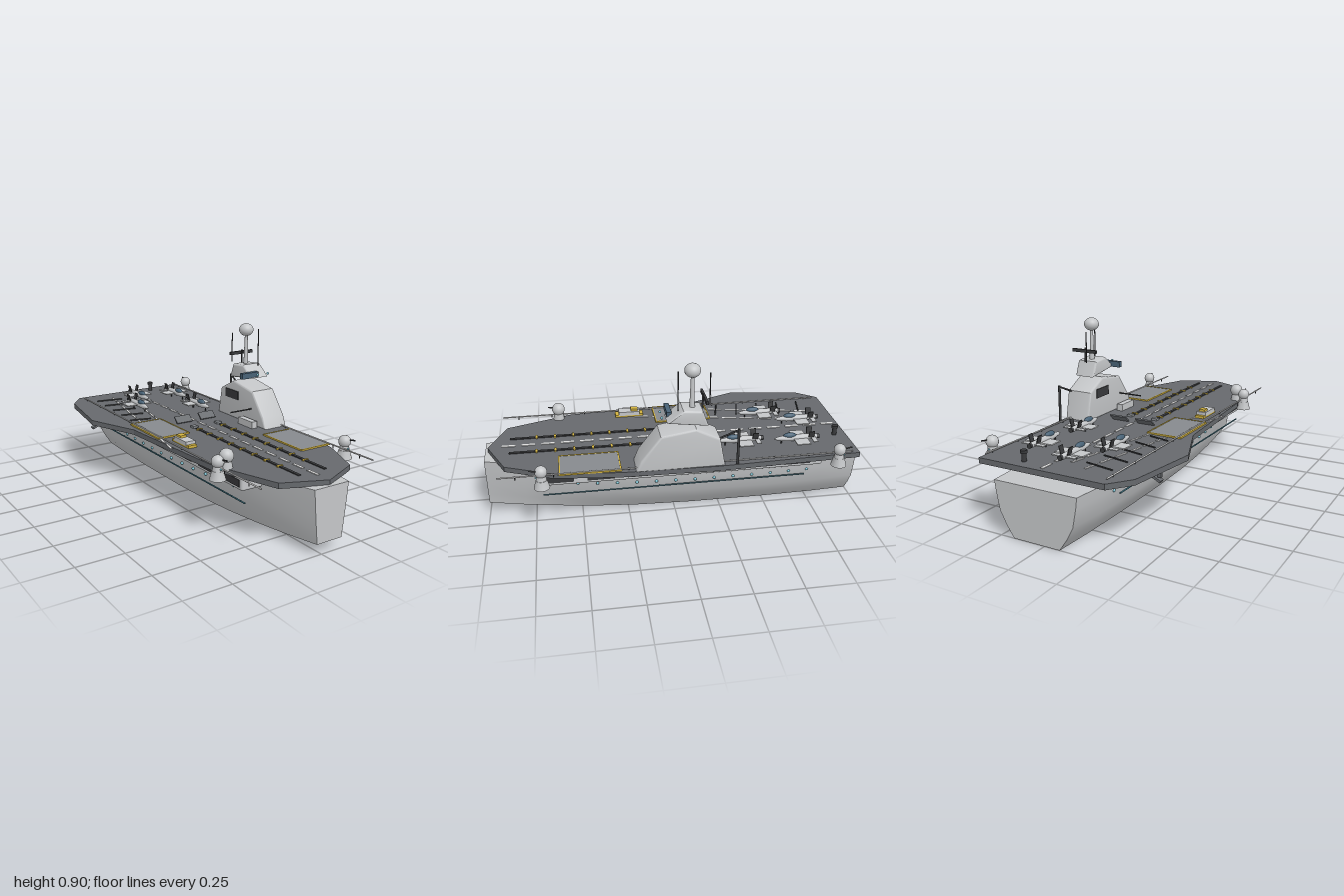
import * as THREE from 'three';
import { toCreasedNormals } from 'three/addons/utils/BufferGeometryUtils.js';
import { RoundedBoxGeometry } from 'three/addons/geometries/RoundedBoxGeometry.js';

const paint = (name, color) => Object.assign(new THREE.MeshStandardMaterial({ color }), { name });
const M = {
  hull: paint('light grey', 0xc4c6c8), deck: paint('deck grey', 0x66696d), dark: paint('charcoal', 0x38393b),
  mark: paint('marking white', 0xdcdcdc), yellow: paint('safety yellow', 0xd4b440), lift: paint('lift grey', 0x868a8e),
  glass: paint('blue glass', 0x486276), teal: paint('teal', 0x3c7080), lamp: paint('lamp cyan', 0x7cc0d0),
};
const TOP = 0.35, CX = 0.045; // deck height, hull centre line

function add(parent, name, geo, mat, x = 0, y = 0, z = 0) {
  const m = new THREE.Mesh(geo, mat);
  m.name = name;
  m.position.set(x, y, z);
  parent.add(m);
  return m;
}
const box = (p, name, mat, w, h, d, x, y, z) => add(p, name, new THREE.BoxGeometry(w, h, d), mat, x, y, z);
const ball = (p, name, mat, r, x, y, z) => add(p, name, new THREE.SphereGeometry(r, 20, 14), mat, x, y, z);
const post = (p, name, mat, rt, rb, y0, y1, x, z) =>
  add(p, name, new THREE.CylinderGeometry(rt, rb, y1 - y0, 16), mat, x, (y0 + y1) / 2, z);
function rod(p, name, mat, r, a, b) {
  const A = new THREE.Vector3(...a), d = new THREE.Vector3(...b).sub(A);
  const m = add(p, name, new THREE.CylinderGeometry(r, r, d.length(), 8), mat);
  m.position.copy(A).addScaledVector(d, 0.5);
  m.quaternion.setFromUnitVectors(new THREE.Vector3(0, 1, 0), d.normalize());
  return m;
}
function group(parent, name, x = 0, y = 0, z = 0) {
  const g = new THREE.Group();
  g.name = name;
  g.position.set(x, y, z);
  parent.add(g);
  return g;
}
const outline = pts => new THREE.Shape(pts.map(p => new THREE.Vector2(...p)));

// Hull stations: z, half width, keel height, top height, bow blend
const STATIONS = [
  [-1, 0.23, 0, 0.272, 0], [-0.8, 0.249, 0, 0.272, 0], [-0.5, 0.262, 0, 0.275, 0], [-0.1, 0.264, 0.002, 0.285, 0],
  [0.2, 0.25, 0.007, 0.297, 0.05], [0.4, 0.23, 0.015, 0.303, 0.12], [0.6, 0.195, 0.026, 0.31, 0.3],
  [0.8, 0.15, 0.039, 0.318, 0.62], [1, 0.102, 0.055, 0.327, 1],
];
const MID = [[1, 1], [0.97, 0.8], [0.89, 0.46], [0.74, 0.22], [0.56, 0]];
const BOW = [[1, 1], [0.96, 0.8], [0.87, 0.46], [0.8, 0.22], [0.73, 0]];

function hullGeometry() {
  const rings = STATIONS.map(([z, w, y0, y1, t]) => {
    const side = MID.map(([a, b], i) => [w * (a + (BOW[i][0] - a) * t), y0 + (y1 - y0) * b]);
    return [...side.map(([x, y]) => [CX - x, y, z]), ...side.reverse().map(([x, y]) => [CX + x, y, z])];
  });
  const n = 10, pos = rings.flat(2), idx = [];
  for (let s = 0; s < rings.length - 1; s++)
    for (let i = 0; i < n; i++) {
      const a = s * n + i, b = s * n + (i + 1) % n;
      idx.push(a, b, b + n, a, b + n, a + n);
    }
  const e = (rings.length - 1) * n;
  for (let i = 1; i < n - 1; i++) idx.push(0, i + 1, i, e, e + i, e + i + 1);
  const g = new THREE.BufferGeometry();
  g.setAttribute('position', new THREE.Float32BufferAttribute(pos, 3));
  g.setIndex(idx);
  return toCreasedNormals(g, 0.6);
}

// Side profile (z, y) given a width along x, with rounded edges
function profileBlock(p, name, pts, width, cx) {
  const b = 0.012;
  const g = new THREE.ExtrudeGeometry(outline(pts),
    { depth: width - 2 * b, bevelSize: b, bevelThickness: b, bevelOffset: -b, bevelSegments: 4 });
  g.translate(0, 0, b - width / 2).rotateY(-Math.PI / 2);
  return add(p, name, toCreasedNormals(g, 0.5), M.hull, cx);
}

function jet(parent, x, z) {
  const g = group(parent, 'jet', x, TOP, z);
  const body = new THREE.LatheGeometry([[0, -0.15], [0.013, -0.15], [0.018, -0.06], [0.017, 0.02], [0.009, 0.07], [0, 0.09]]
    .map(p => new THREE.Vector2(...p)), 12).rotateX(Math.PI / 2);
  add(g, 'jetFuselage', body, M.hull, 0, 0.03, 0);
  add(g, 'jetCanopy', new THREE.SphereGeometry(1, 14, 10).scale(0.015, 0.016, 0.037), M.glass, 0, 0.045, 0);
  add(g, 'jetNozzle', new THREE.CylinderGeometry(0.013, 0.013, 0.02, 12).rotateX(Math.PI / 2), M.dark, 0, 0.03, -0.155);
  box(g, 'jetWings', M.hull, 0.16, 0.006, 0.075, 0, 0.027, -0.058);
  box(g, 'jetTailplanes', M.hull, 0.13, 0.005, 0.025, 0, 0.03, -0.128);
  for (const s of [-1, 1]) {
    box(g, 'jetFin', M.dark, 0.004, 0.04, 0.03, s * 0.024, 0.055, -0.115).rotation.z = -s * 0.25;
    post(g, 'jetWheel', M.dark, 0.004, 0.004, 0, 0.025, s * 0.02, -0.06);
  }
  post(g, 'jetNoseWheel', M.dark, 0.003, 0.003, 0, 0.025, 0, 0.045);
}

function turret(parent, x, z, dir) {
  const g = group(parent, 'gunTurret', x, 0.3, z);
  const pts = [[0, 0], [0.041, 0], [0.028, 0.045], [0.026, 0.045], [0.022, 0.08], [0, 0.08]];
  const base = new THREE.LatheGeometry(pts.map(p => new THREE.Vector2(...p)), 20);
  add(g, 'turretBase', toCreasedNormals(base, 0.5), M.hull);
  ball(g, 'turretDome', M.hull, 0.032, 0, 0.09, 0);
  rod(g, 'turretBarrel', M.dark, 0.004, [0.012, 0.1, dir * 0.02], [0.012, 0.107, dir * 0.06]);
  ball(g, 'turretLamp', M.lamp, 0.005, 0, 0.057, dir * 0.027);
}

function liftPlatform(parent, x0, x1, z0, z1) {
  const g = group(parent, 'aircraftLift', (x0 + x1) / 2, TOP, (z0 + z1) / 2);
  const w = x1 - x0, d = z1 - z0;
  box(g, 'liftPlate', M.lift, w, 0.006, d, 0, 0.003, 0);
  for (const s of [-1, 1]) {
    box(g, 'liftEdge', M.yellow, 0.007, 0.008, d, s * w / 2, 0.004, 0);
    box(g, 'liftEdge', M.yellow, w, 0.008, 0.007, 0, 0.004, s * d / 2);
  }
}

export function createModel() {
  const ship = new THREE.Group();
  ship.name = 'carrier';

  // Hull, side galleries and fittings
  add(ship, 'hull', hullGeometry(), M.hull);
  add(ship, 'gallery', new RoundedBoxGeometry(0.565, 0.072, 1.49, 3, 0.012), M.hull, CX, 0.292, -0.045);
  for (const s of [-1, 1]) {
    for (let i = 0; i < 7; i++)
      box(ship, 'galleryOpening', M.dark, 0.006, 0.036, 0.142, CX + s * 0.283, 0.292, 0.61 - i * 0.21);
    rod(ship, 'hullStripe', M.teal, 0.004, [CX + s * 0.264, 0.195, -0.7], [CX + s * 0.264, 0.195, 0.7]);
    for (let i = 0; i < 13; i++) {
      const z = 0.52 - i * 0.1033;
      const k = STATIONS.findIndex(r => r[0] > z), a = STATIONS[k - 1], b = STATIONS[k];
      const w = a[1] + (b[1] - a[1]) * (z - a[0]) / (b[0] - a[0]);
      ball(ship, 'porthole', M.lamp, 0.008, CX + s * w * 0.965, 0.212, z);
    }
    ball(ship, 'anchor', M.dark, 0.01, CX + s * 0.155, 0.291, 0.807);
  }

  // Flight deck
  const edge = [[-0.31, -0.97], [0.39, -0.97], [0.418, -0.2], [0.405, 0.3], [0.365, 0.645], [0.26, 0.89], [0.045, 0.985],
    [-0.175, 0.89], [-0.295, 0.53], [-0.34, -0.17], [-0.455, -0.46], [-0.395, -0.86]];
  const deck = new THREE.ExtrudeGeometry(outline(edge), { depth: 0.028, bevelEnabled: false }).rotateX(Math.PI / 2);
  add(ship, 'flightDeck', deck, M.deck, 0, TOP, 0);

  // Deck markings
  for (let i = 0; i < 18; i++) box(ship, 'centreDash', M.mark, 0.016, 0.004, 0.072, 0.041, TOP + 0.001, -0.91 + i * 0.105);
  for (const [x0, z0, n] of [[-0.13, -0.86, 11], [-0.03, -0.82, 10]])
    for (let i = 0; i < n; i++) {
      const z = z0 + 0.045 + i * 0.1;
      box(ship, 'landingDash', M.mark, 0.012, 0.004, 0.08, x0 - 0.187 * (z - z0), TOP + 0.001, z).rotation.y = -0.185;
    }
  for (let i = 0; i < 5; i++)
    rod(ship, 'arrestorWire', M.dark, 0.004, [-0.255 - i * 0.005, TOP + 0.005, -0.82 + i * 0.122], [-0.1 - i * 0.015, TOP + 0.005, -0.79 + i * 0.122]);

  // Catapults with blast shields
  for (const [x, sx] of [[-0.037, -0.037], [0.121, 0.122]]) {
    box(ship, 'catapultTrack', M.dark, 0.016, 0.006, 0.87, x, TOP + 0.002, 0.435);
    box(ship, 'catapultShuttle', M.lift, 0.032, 0.012, 0.03, x, TOP + 0.006, -0.025);
    for (let i = 0; i < 8; i++) box(ship, 'catapultMark', M.yellow, 0.034, 0.008, 0.01, x, TOP + 0.003, 0.026 + i * 0.1);
    box(ship, 'blastShield', M.deck, 0.1, 0.008, 0.046, sx, TOP + 0.02, -0.143).rotation.x = 0.75;
  }
  liftPlatform(ship, -0.31, -0.12, -0.26, 0.05);
  liftPlatform(ship, 0.198, 0.388, 0.3, 0.61);

  // Edge rails
  for (const x of [-0.295, 0.383]) {
    rod(ship, 'edgeRail', M.mark, 0.004, [x, TOP + 0.008, -0.93], [x, TOP + 0.008, 0.92]);
    for (let i = 0; i < 10; i++) post(ship, 'railPost', M.dark, 0.003, 0.003, TOP - 0.01, TOP + 0.012, x, -0.88 + i * 0.19);
  }

  // Island
  const island = group(ship, 'island');
  profileBlock(island, 'islandTower', [[0.225, 0.348], [0.2, 0.41], [0.1, 0.54], [-0.08, 0.57], [-0.205, 0.505], [-0.235, 0.348]], 0.15, 0.341);
  profileBlock(island, 'bridge', [[0.065, 0.605], [-0.015, 0.67], [-0.115, 0.66], [-0.145, 0.577]], 0.12, 0.345);
  box(island, 'bridgeWindow', M.glass, 0.11, 0.032, 0.025, 0.284, 0.622, 0.047);
  box(island, 'towerWindow', M.dark, 0.008, 0.05, 0.12, 0.265, 0.488, -0.09);
  for (const x of [0.31, 0.38]) ball(island, 'bridgeLamp', M.lamp, 0.007, x, 0.63, 0.09);
  post(island, 'mast', M.hull, 0.008, 0.014, 0.66, 0.84, 0.344, -0.068);
  add(island, 'radome', new THREE.SphereGeometry(1, 24, 16).scale(0.041, 0.036, 0.041), M.hull, 0.343, 0.86, -0.068);
  box(island, 'radarBar', M.dark, 0.155, 0.018, 0.012, 0.353, 0.718, -0.128);
  post(island, 'radarStem', M.dark, 0.005, 0.005, 0.655, 0.735, 0.353, -0.12);
  post(island, 'antenna', M.dark, 0.003, 0.003, 0.66, 0.87, 0.373, 0.008);
  post(island, 'antenna', M.dark, 0.003, 0.003, 0.66, 0.83, 0.315, -0.165);
  rod(island, 'sideBoom', M.dark, 0.004, [0.125, 0.44, 0.095], [0.28, 0.44, 0.095]);
  post(island, 'cranePost', M.dark, 0.007, 0.007, 0.348, 0.55, 0.405, -0.3);
  rod(island, 'craneArm', M.dark, 0.005, [0.405, 0.545, -0.3], [0.395, 0.5, -0.2]);

  // Guns, radome and deck gear
  turret(ship, -0.305, 0.598, 1);
  turret(ship, 0.405, 0.7, 1);
  turret(ship, 0.413, -0.845, -1);
  post(ship, 'domeBase', M.hull, 0.025, 0.032, 0.345, 0.395, -0.257, 0.6);
  ball(ship, 'sensorDome', M.hull, 0.036, -0.257, 0.41, 0.6);
  post(ship, 'bollard', M.dark, 0.011, 0.013, 0.345, 0.392, 0.172, -0.905);
  post(ship, 'bollardCap', M.dark, 0.017, 0.017, 0.39, 0.405, 0.172, -0.905);
  box(ship, 'sponsonStrut', M.deck, 0.016, 0.05, 0.016, -0.383, 0.3, -0.61);
  box(ship, 'sponsonArm', M.deck, 0.086, 0.012, 0.03, -0.353, 0.275, -0.61).rotation.z = 0.48;

  // Deck vehicles
  const tug = group(ship, 'deckTug', -0.238, TOP, 0.195);
  box(tug, 'tugBase', M.yellow, 0.05, 0.014, 0.16, 0, 0.009, 0);
  box(tug, 'tugBody', M.hull, 0.056, 0.022, 0.12, 0, 0.022, 0);
  box(tug, 'tugCab', M.yellow, 0.035, 0.014, 0.04, 0, 0.038, -0.03);
  box(ship, 'deckLocker', M.hull, 0.035, 0.038, 0.13, 0.233, TOP + 0.019, 0.105);

  // Parked jets
  for (const [x, z] of [[0, -0.7], [-0.108, -0.51], [0.23, -0.63], [0.204, -0.325]]) jet(ship, x, z);
  return ship;
}
